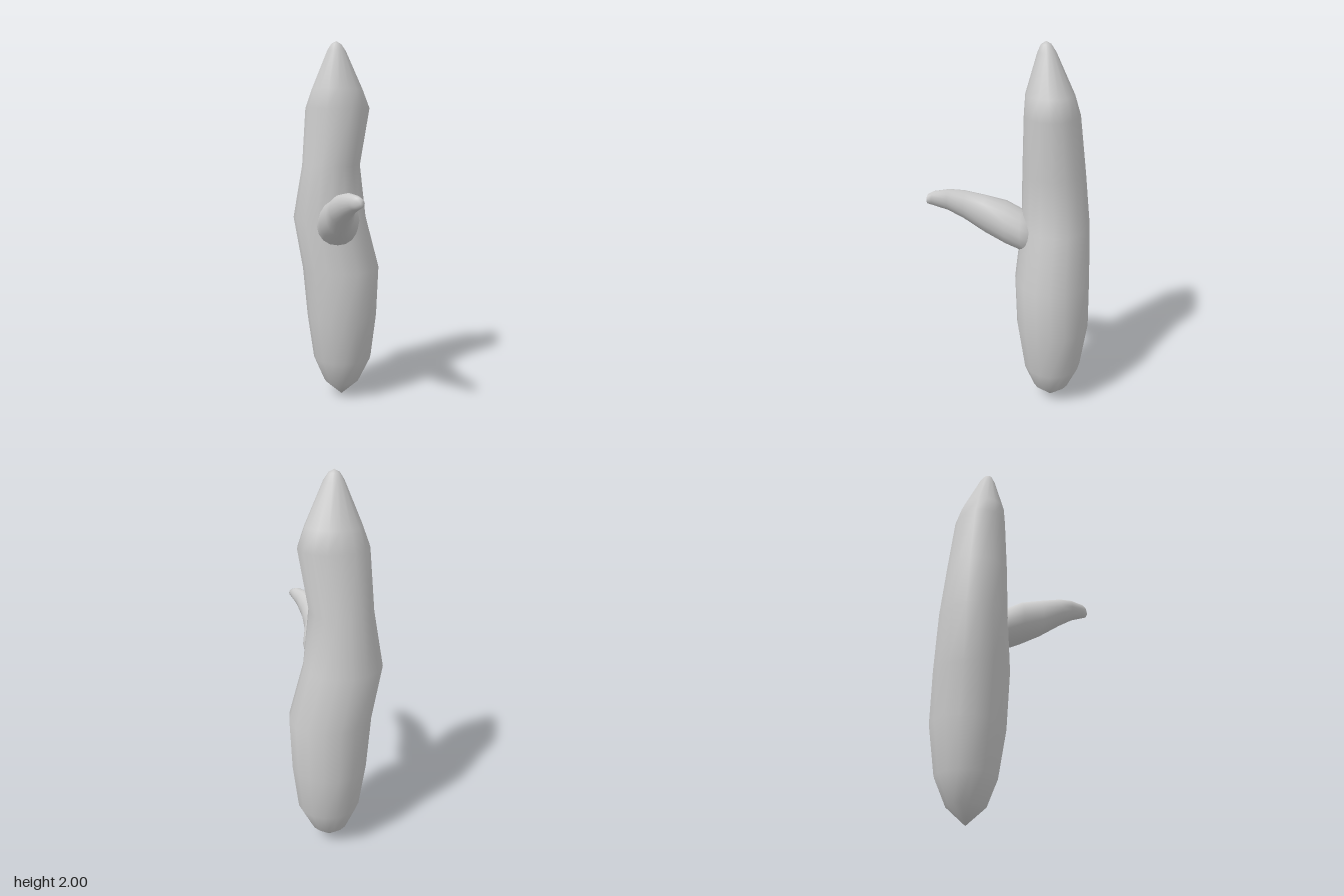
import * as THREE from 'three';

const SIDES = 16;

// Lofts a closed smooth skin over elliptical rings.
// Each ring is [w, uMin, uMax, vMin, vMax]; start and end are the closing points [w, u, v].
function loft(start, rings, end, place) {
  const pos = [], index = [];
  const add = (u, v, w) => pos.push(...place(u, v, w));
  add(start[1], start[2], start[0]);
  for (const [w, u0, u1, v0, v1] of rings) {
    for (let i = 0; i < SIDES; i++) {
      const a = (i / SIDES) * Math.PI * 2;
      add((u0 + u1) / 2 + Math.cos(a) * (u1 - u0) / 2,
        (v0 + v1) / 2 + Math.sin(a) * (v1 - v0) / 2, w);
    }
  }
  add(end[1], end[2], end[0]);
  const last = 1 + rings.length * SIDES;
  for (let i = 0; i < SIDES; i++) {
    const j = (i + 1) % SIDES;
    index.push(0, 1 + j, 1 + i);
    for (let r = 0; r < rings.length - 1; r++) {
      const a = 1 + r * SIDES, b = a + SIDES;
      index.push(a + i, a + j, b + j, a + i, b + j, b + i);
    }
    const t = last - SIDES;
    index.push(t + i, t + j, last);
  }
  const geo = new THREE.BufferGeometry();
  geo.setAttribute('position', new THREE.Float32BufferAttribute(pos, 3));
  geo.setIndex(index);
  geo.computeVertexNormals();
  return geo;
}

export function createModel() {
  const group = new THREE.Group();
  const material = new THREE.MeshStandardMaterial({ color: 0xcccccc });
  const addPart = (name, geo) => {
    const mesh = new THREE.Mesh(geo, material);
    mesh.name = name;
    group.add(mesh);
  };

  // Upright trunk: w is height, v runs toward the back
  addPart('trunk', loft([0, 0.03, 0.23], [
    [0.09, -0.07, 0.13, 0.13, 0.33],
    [0.23, -0.13, 0.20, 0.075, 0.39],
    [0.48, -0.165, 0.23, 0.035, 0.425],
    [0.76, -0.19, 0.24, 0.022, 0.42],
    [1.05, -0.24, 0.165, 0.05, 0.41],
    [1.34, -0.19, 0.13, 0.052, 0.378],
    [1.65, -0.17, 0.18, 0.06, 0.34],
    [1.75, -0.135, 0.14, 0.066, 0.308],
    [1.95, -0.053, 0.047, 0.122, 0.212],
    [1.985, -0.032, 0.022, 0.138, 0.188],
  ], [2, -0.005, 0.163], (u, v, w) => [u, w, -v]));

  // Side branch: w runs toward the front, rings skew forward on the bent tip
  const bend = (u, v, w) => [u, v, w + Math.max(0, w - 0.25) * (u - 0.05) * 1.6];
  addPart('branch', loft([-0.16, -0.005, 1.01], [
    [-0.12, -0.115, 0.105, 0.89, 1.11],
    [-0.05, -0.115, 0.105, 0.915, 1.135],
    [0.03, -0.11, 0.105, 0.95, 1.18],
    [0.14, -0.08, 0.07, 1.005, 1.208],
    [0.25, -0.068, 0.062, 1.08, 1.23],
    [0.33, -0.025, 0.07, 1.133, 1.245],
    [0.40, 0.015, 0.085, 1.168, 1.242],
    [0.42, 0.035, 0.09, 1.18, 1.232],
  ], [0.43, 0.07, 1.205], bend));

  return group;
}
